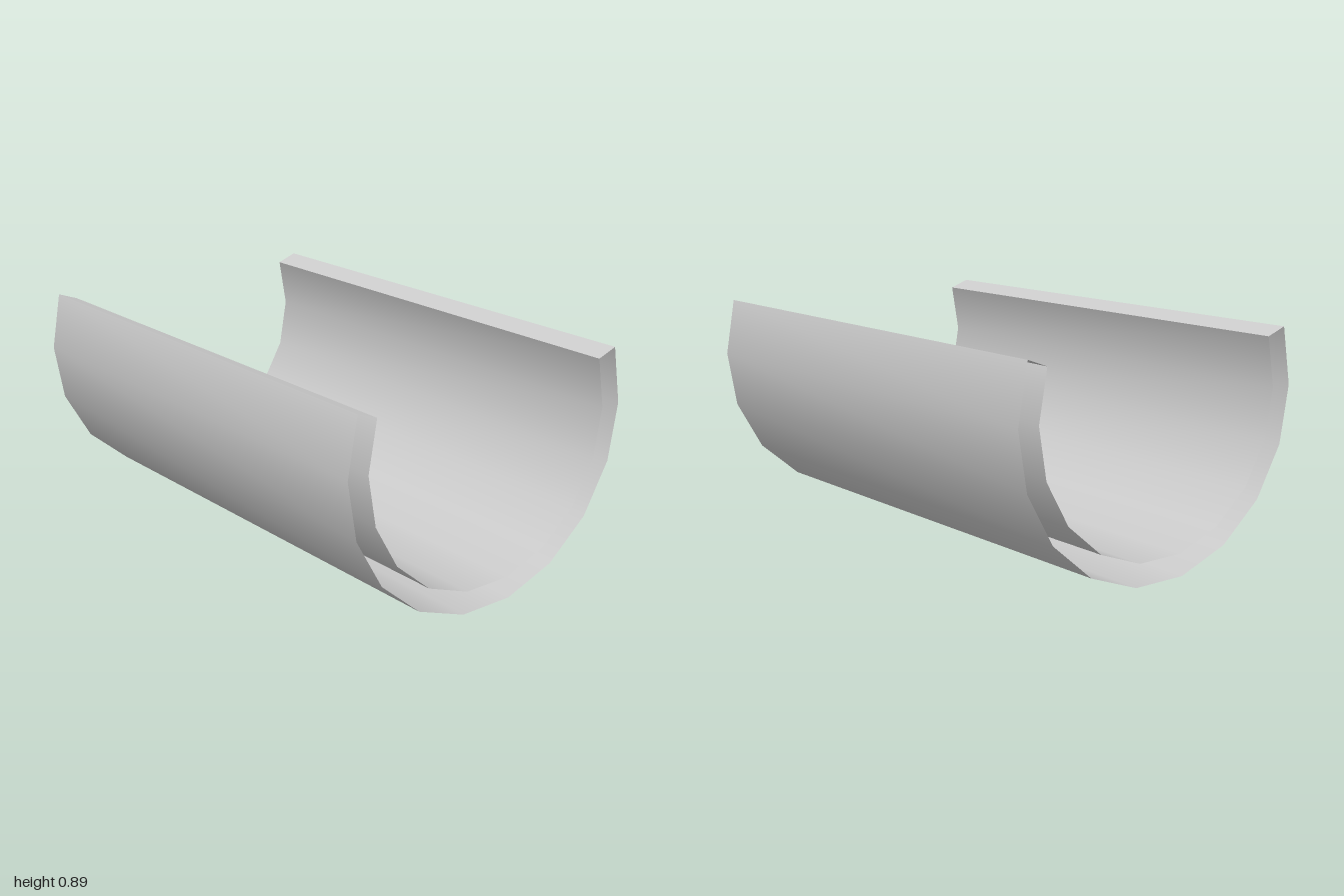
import * as THREE from 'three';

const OUTER = 0.67, INNER = 0.58, LENGTH = 2, SEGMENTS = 11;
const RISE = THREE.MathUtils.degToRad(20); // how far the walls climb past the axis
const AXIS_Y = OUTER * Math.cos(THREE.MathUtils.degToRad(10)); // flat bottom facet rests on y = 0

export function createModel() {
  const group = new THREE.Group();
  group.name = 'openTrough';
  const material = new THREE.MeshStandardMaterial({ color: 0xcccccc, side: THREE.DoubleSide });

  const add = (name, geometry) => {
    const mesh = new THREE.Mesh(geometry, material);
    mesh.name = name;
    mesh.position.y = AXIS_Y;
    group.add(mesh);
    return mesh;
  };

  // Curved walls: open arcs lying along z, with the gap at the top
  const sweep = Math.PI + 2 * RISE;
  const wall = (radius) => new THREE.CylinderGeometry(
    radius, radius, LENGTH, SEGMENTS, 1, true, -sweep / 2, sweep).rotateX(Math.PI / 2);
  add('outerWall', wall(OUTER));
  add('innerWall', wall(INNER));

  // Radial strips closing the two long upper edges; the ends stay open
  for (const side of [-1, 1]) {
    const strip = new THREE.PlaneGeometry(OUTER - INNER, LENGTH)
      .rotateX(-Math.PI / 2)
      .translate(side * (OUTER + INNER) / 2, 0, 0)
      .rotateZ(side * RISE);
    add(side > 0 ? 'leftRim' : 'rightRim', strip);
  }
  return group;
}
